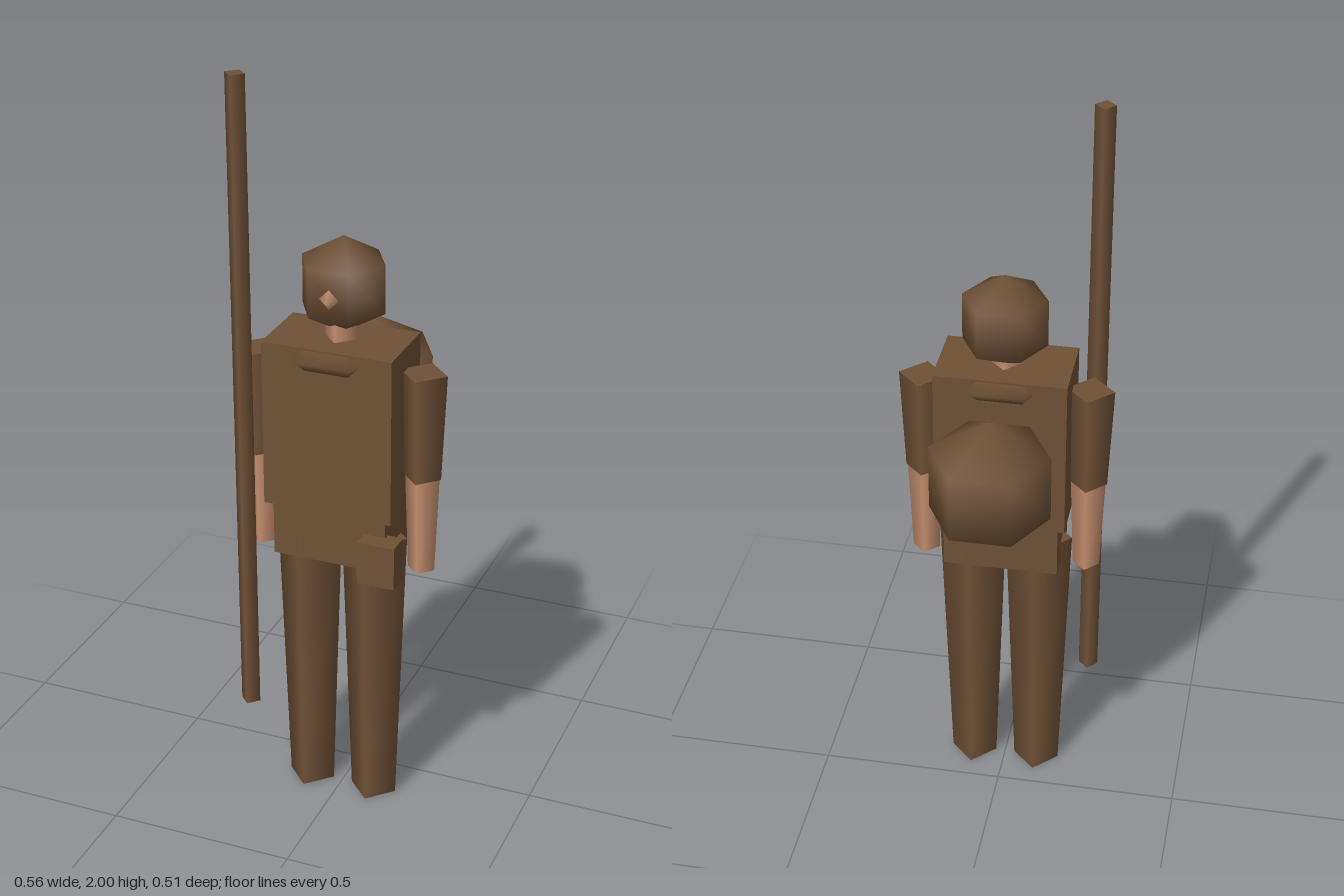
import * as THREE from 'three';

export function createModel() {
  const model = new THREE.Group();
  model.name = 'traveller';

  const cloth = new THREE.MeshStandardMaterial({ color: 0x6f5136 });
  cloth.name = 'brown cloth';
  const skin = new THREE.MeshStandardMaterial({ color: 0xc68f6e });
  skin.name = 'skin';

  const add = (name, geometry, material, x, y, z) => {
    const mesh = new THREE.Mesh(geometry, material);
    mesh.name = name;
    mesh.position.set(x, y, z);
    model.add(mesh);
    return mesh;
  };

  // Four-sided tapered limb between two heights
  const limb = (name, material, x, z, yTop, yBottom, rTop, rBottom) =>
    add(name, new THREE.CylinderGeometry(rTop, rBottom, yTop - yBottom, 4),
      material, x, (yTop + yBottom) / 2, z);

  const bodyZ = 0.117;

  // Trunk
  add('torso', new THREE.BoxGeometry(0.345, 0.447, 0.2), cloth, 0, 1.1, bodyZ);
  add('hips', new THREE.BoxGeometry(0.306, 0.148, 0.172), cloth, 0, 0.802, bodyZ);
  const collar = add('collar', new THREE.TorusGeometry(0.117, 0.027, 4, 6), cloth, 0, 1.292, bodyZ);
  collar.rotation.x = Math.PI / 2;

  // Head
  limb('neck', skin, 0, bodyZ, 1.4, 1.3, 0.042, 0.042);
  add('head', new THREE.SphereGeometry(0.127, 6, 3), cloth, 0, 1.458, 0.099);
  add('nose', new THREE.SphereGeometry(0.03, 4, 2), skin, 0, 1.451, 0.19);

  // Arms and legs, mirrored
  for (const [side, s] of [['left', 1], ['right', -1]]) {
    limb(side + 'Sleeve', cloth, s * 0.219, bodyZ, 1.263, 0.977, 0.0625, 0.05);
    limb(side + 'Forearm', skin, s * 0.219, bodyZ, 0.977, 0.714, 0.046, 0.036);
    limb(side + 'Leg', cloth, s * 0.09, bodyZ, 0.79, 0, 0.09, 0.0635);
  }

  // Gear
  add('backpack', new THREE.SphereGeometry(0.181, 6, 3), cloth, 0, 1.11, -0.12);
  add('pouch', new THREE.BoxGeometry(0.1, 0.117, 0.064), cloth, 0.145, 0.772, 0.218);
  limb('staff', cloth, -0.22, 0.226, 2, 0.275, 0.0265, 0.0265);

  return model;
}
